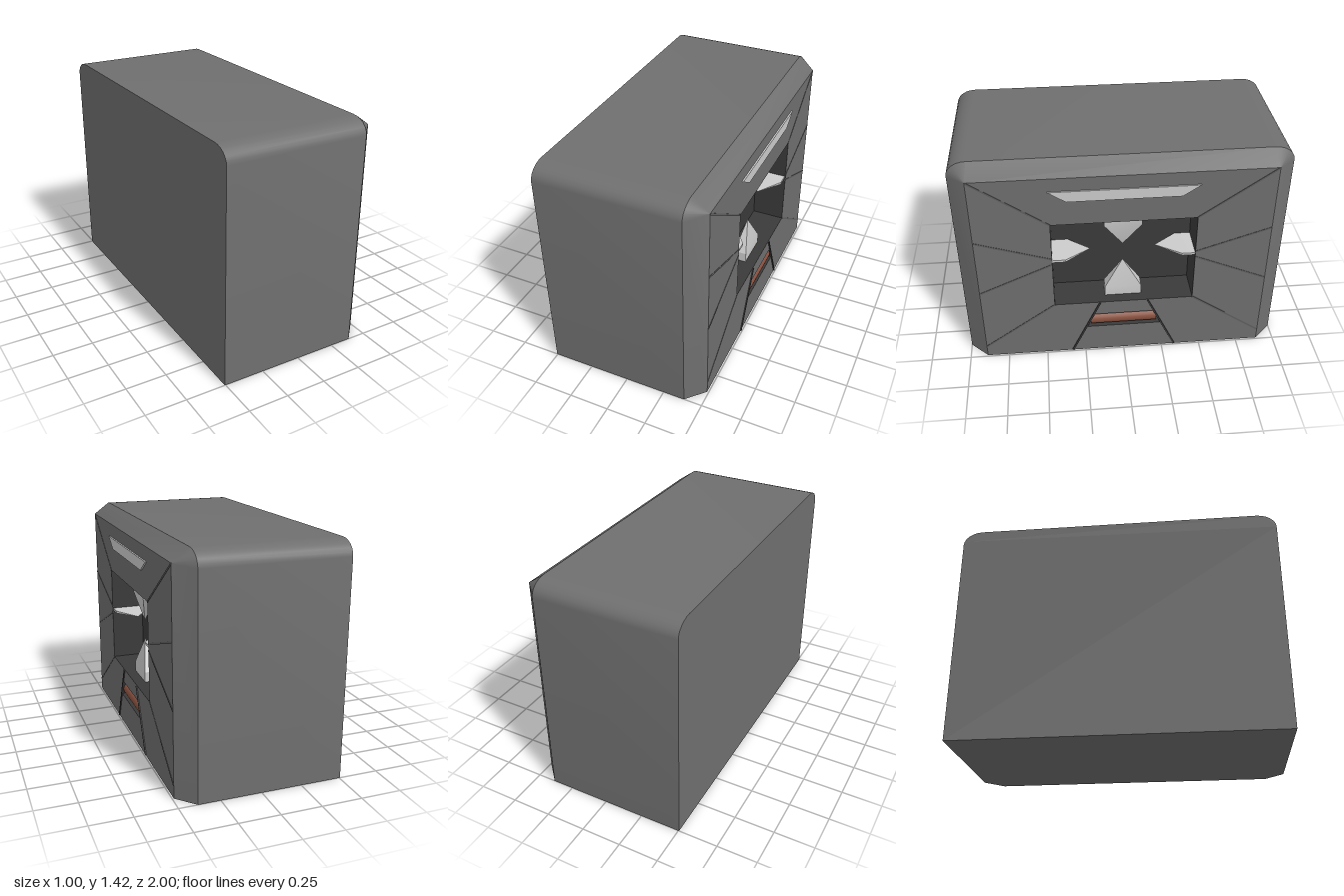
import * as THREE from 'three';
import { toCreasedNormals } from 'three/addons/utils/BufferGeometryUtils.js';

const mat = (color, side = THREE.FrontSide) => new THREE.MeshStandardMaterial({ color, side });
const FACE = 0.49, BACK = -0.505;

// Skin between closed counter-clockwise rings of [x, y], each at its own z.
function loft(rings, inward = false) {
  const pos = [];
  for (let r = 0; r < rings.length - 1; r++) {
    const a = rings[r], b = rings[r + 1], n = a.pts.length;
    for (let i = 0; i < n; i++) {
      const j = (i + 1) % n;
      const p = [...a.pts[i], a.z], q = [...a.pts[j], a.z], s = [...b.pts[j], b.z], t = [...b.pts[i], b.z];
      pos.push(...(inward ? [p, s, q, p, t, s] : [p, q, s, p, s, t]).flat());
    }
  }
  const g = new THREE.BufferGeometry();
  g.setAttribute('position', new THREE.Float32BufferAttribute(pos, 3));
  g.computeVertexNormals();
  return toCreasedNormals(g, 0.5);
}

const toShape = (pts) => new THREE.Shape(pts.map(([x, y]) => new THREE.Vector2(x, y)));
const rect = (w, y0, y1) => [[-w, y0], [w, y0], [w, y1], [-w, y1]];
const trapezoid = (w0, w1, y0, y1) => [[-w0, y0], [w0, y0], [w1, y1], [-w1, y1]];

export function createModel() {
  const model = new THREE.Group();
  // Parts are laid out facing +z, then turned to face +x.
  const unit = new THREE.Group();
  unit.name = 'machineUnit';
  unit.rotation.y = Math.PI / 2;
  model.add(unit);

  const add = (name, geometry, material, parent = unit) => {
    const mesh = new THREE.Mesh(geometry, material);
    mesh.name = name;
    parent.add(mesh);
    return mesh;
  };

  const shell = mat(0x6f6f6f);
  const dark = mat(0x3a3a3a);
  const light = mat(0xcccccc);

  // Casing: rounded top corners, front edge chamfered to a smaller rectangle
  const outer = [[-1, 0], [1, 0]], inner = [[-0.89, 0], [0.89, 0]];
  const N = 6;
  for (const side of [1, -1]) {
    for (let i = 0; i <= N; i++) {
      const a = (side > 0 ? i : N - i) / N * Math.PI / 2;
      outer.push([side * (0.88 + 0.12 * Math.cos(a)), 1.33 + 0.09 * Math.sin(a)]);
      inner.push([side * 0.89, 1.345]);
    }
  }
  add('casing', loft([{ pts: outer, z: BACK }, { pts: outer, z: 0.385 }, { pts: inner, z: FACE }]), shell);
  const backPanel = add('backPanel', new THREE.ShapeGeometry(toShape(outer)), shell);
  backPanel.rotation.y = Math.PI;
  backPanel.position.z = BACK;

  // Front panel with the main opening and the roller slot
  const opening = rect(0.435, 0.405, 1.025);
  const slot = trapezoid(0.24, 0.195, 0.2, 0.305);
  const panel = toShape(rect(0.89, 0, 1.345));
  panel.holes.push(toShape(opening), toShape(slot));
  add('frontPanel', new THREE.ShapeGeometry(panel), shell).position.z = FACE;

  // Pockets behind both holes
  const pocket = (name, pts, depth) => {
    const z = FACE - depth;
    add(name + 'Walls', loft([{ pts, z }, { pts, z: FACE }], true), dark);
    add(name + 'Back', new THREE.ShapeGeometry(toShape(pts)), dark).position.z = z;
  };
  pocket('chamber', opening, 0.21);
  pocket('rollerSlot', slot, 0.09);

  // Roller in the lower slot
  const roller = add('roller', new THREE.CylinderGeometry(0.043, 0.043, 0.42, 20), mat(0x8a5240));
  roller.rotation.z = Math.PI / 2;
  roller.position.set(0, 0.244, 0.445);

  // Light strip above the opening
  const strip = new THREE.ExtrudeGeometry(toShape(trapezoid(0.335, 0.44, 1.19, 1.26)), { depth: 0.02, bevelEnabled: false });
  add('lightStrip', strip, light).position.z = 0.48;

  // Pointed prongs on the four sides of the opening
  const prong = (name, x, y, z, turn, w, t, shoulder, length) => {
    const base = rect(w, -t, t);
    const g = loft([{ pts: base, z: 0 }, { pts: base, z: shoulder }, { pts: rect(0.001, -0.001, 0.001), z: length }]);
    g.rotateX(-Math.PI / 2);
    const m = add(name, g, light);
    m.rotation.z = turn;
    m.position.set(x, y, z);
  };
  prong('bottomProng', 0, 0.405, 0.385, 0, 0.115, 0.04, 0.065, 0.255);
  prong('topProng', 0, 1.025, 0.385, Math.PI, 0.115, 0.04, 0.075, 0.24);
  for (const s of [-1, 1]) {
    prong(s < 0 ? 'leftProng' : 'rightProng', s * 0.435, 0.75, 0.375, s * Math.PI / 2, 0.008, 0.11, 0.08, 0.235);
  }

  // Thin seams radiating across the front panel, mirrored
  const seam = (name, x0, y0, x1, y1, rise, material) => {
    const m = add(name, new THREE.BoxGeometry(Math.hypot(x1 - x0, y1 - y0), 0.011, 0.01), material);
    m.rotation.z = Math.atan2(y1 - y0, x1 - x0);
    m.position.set((x0 + x1) / 2, (y0 + y1) / 2, FACE - 0.005 + rise);
  };
  const seamGrey = mat(0x606060);
  for (const s of [-1, 1]) {
    seam('upperCornerSeam', s * 0.435, 1.025, s * 0.887, 1.341, 0.002, seamGrey);
    seam('upperSideSeam', s * 0.435, 0.77, s * 0.888, 0.92, 0.002, seamGrey);
    seam('lowerSideSeam', s * 0.435, 0.73, s * 0.888, 0.53, 0.002, seamGrey);
    seam('lowerCornerSeam', s * 0.435, 0.405, s * 0.888, 0.08, 0.002, seamGrey);
    seam('lowerPanelSeam', s * 0.15, 0.402, s * 0.333, 0.004, 0.007, dark);
  }
  return model;
}
